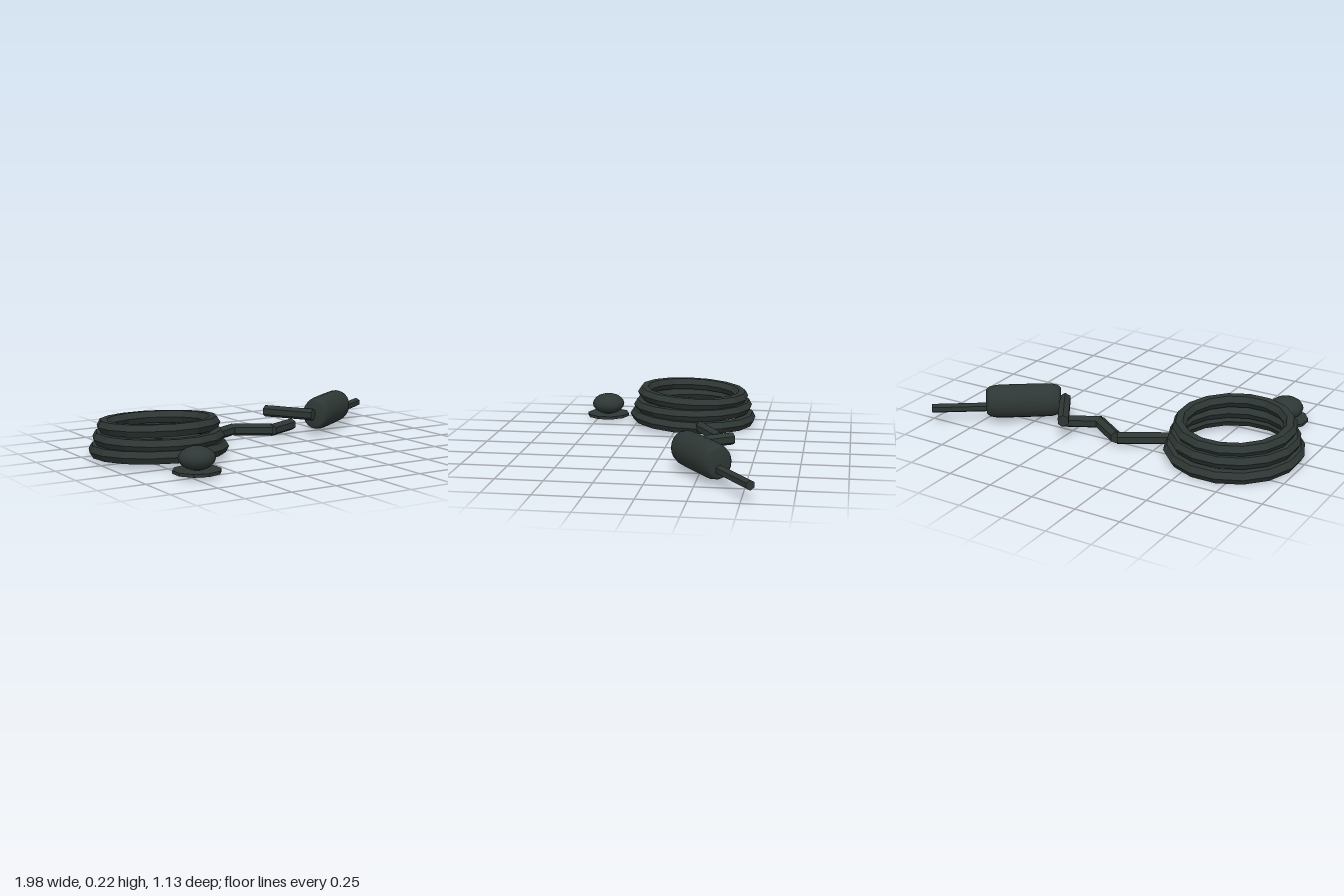
import * as THREE from 'three';

export function createModel() {
  const model = new THREE.Group();
  const flat = new THREE.MeshStandardMaterial({ color: 0x2e3735, flatShading: true });
  flat.name = 'dark rubber';
  const smooth = new THREE.MeshStandardMaterial({ color: 0x2e3735 });
  smooth.name = 'dark casing';

  const add = (name, geometry, material, x, y, z) => {
    const mesh = new THREE.Mesh(geometry, material);
    mesh.name = name;
    mesh.position.set(x, y, z);
    model.add(mesh);
    return mesh;
  };

  // Six-sided straight rod between two points at one height
  const rod = (name, [x0, z0], [x1, z1], y, r) => {
    const a = new THREE.Vector3(x0, y, z0), b = new THREE.Vector3(x1, y, z1);
    const geometry = new THREE.CylinderGeometry(r, r, a.distanceTo(b), 6).rotateX(Math.PI / 2);
    const mesh = add(name, geometry, flat, (x0 + x1) / 2, y, (z0 + z1) / 2);
    mesh.lookAt(b);
  };

  // Stacked, slightly tilted coil: [ring radius, height, tilt]
  [[0.333, 0.043, -0.04], [0.311, 0.106, -0.012], [0.288, 0.17, -0.05]].forEach(([radius, y, tilt], i) => {
    const ring = new THREE.TorusGeometry(radius, 0.037, 6, 16);
    ring.rotateZ(Math.PI / 16).rotateX(Math.PI / 2).rotateX(tilt);
    add('coilRing' + (i + 1), ring, flat, -0.635, y, -0.075);
  });

  // Zigzag lead from the coil to the handle
  rod('lead1', [-0.31, -0.155], [-0.06, -0.298], 0.046, 0.034);
  rod('lead2', [-0.052, -0.295], [0.132, -0.168], 0.046, 0.034);
  rod('lead3', [0.118, -0.165], [0.315, -0.265], 0.046, 0.034);

  // Cross bar, handle and tip
  rod('crossBar', [0.217, -0.39], [0.375, -0.13], 0.115, 0.033);
  rod('tipRod', [0.7, -0.36], [0.972, -0.545], 0.08, 0.026);
  const profile = [[0, -0.203], [0.068, -0.203], [0.083, -0.185], [0.091, -0.15], [0.0925, -0.1],
    [0.0925, 0.1], [0.091, 0.15], [0.083, 0.185], [0.068, 0.203], [0, 0.203]];
  const body = new THREE.LatheGeometry(profile.map(([r, h]) => new THREE.Vector2(r, h)), 20);
  body.rotateZ(-Math.PI / 2).scale(1, 1, 0.88);
  add('handleBody', body, smooth, 0.559, 0.112, -0.262).rotation.y = 0.605;

  // Separate button on a thin disc
  add('buttonBase', new THREE.CylinderGeometry(0.123, 0.123, 0.016, 10), flat, -0.692, 0.017, 0.443);
  const knob = new THREE.SphereGeometry(1, 14, 10).scale(0.094, 0.06, 0.094);
  add('buttonKnob', knob, smooth, -0.692, 0.082, 0.443);

  return model;
}
